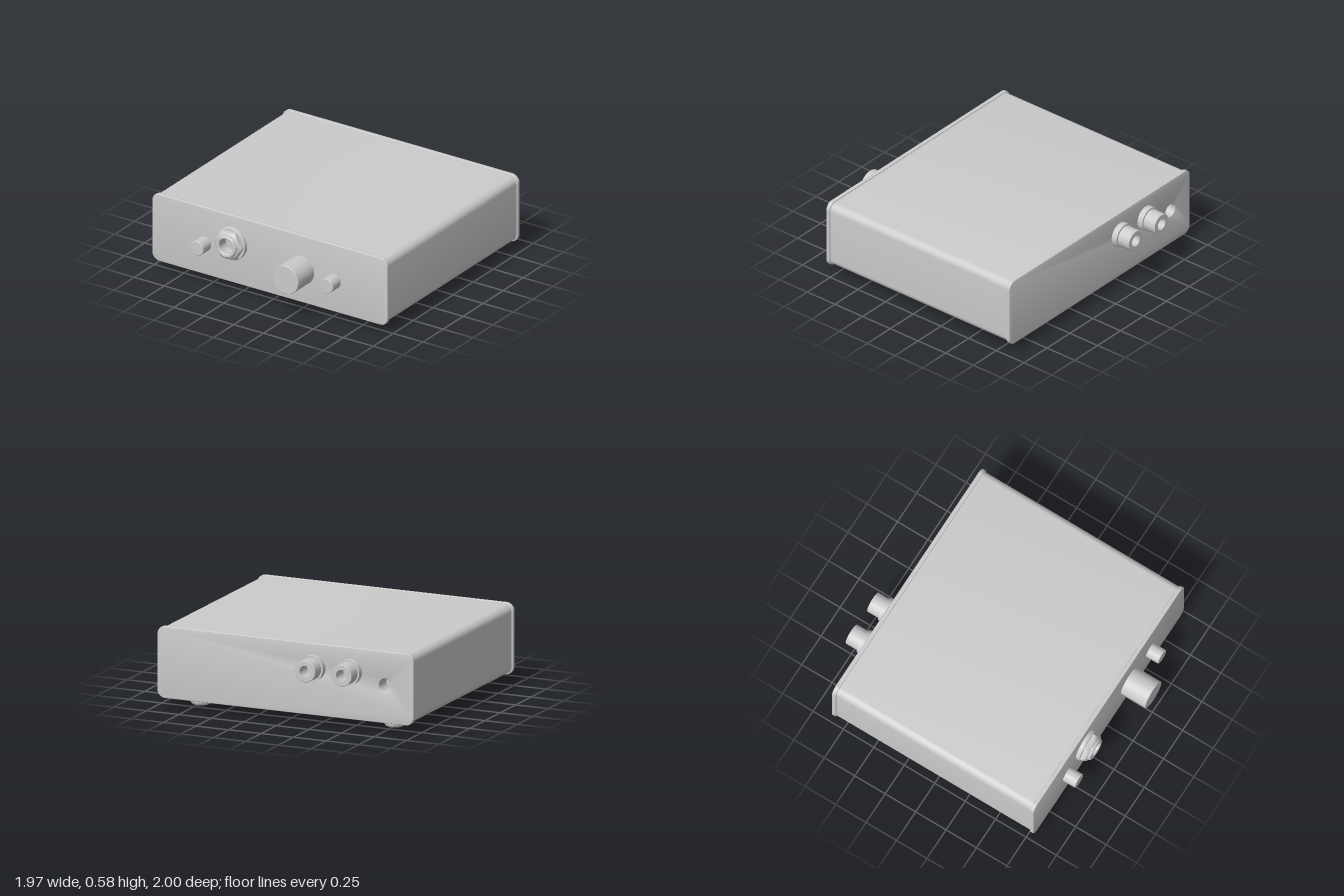
import * as THREE from 'three';
import { toCreasedNormals } from 'three/addons/utils/BufferGeometryUtils.js';

const material = new THREE.MeshStandardMaterial({ color: 0xcccccc });
const CENTER_Y = 0.323;

function roundedRect(target, halfW, halfH, r) {
  target.moveTo(-halfW + r, -halfH);
  target.lineTo(halfW - r, -halfH);
  target.absarc(halfW - r, -halfH + r, r, -Math.PI / 2, 0);
  target.lineTo(halfW, halfH - r);
  target.absarc(halfW - r, halfH - r, r, 0, Math.PI / 2);
  target.lineTo(-halfW + r, halfH);
  target.absarc(-halfW + r, halfH - r, r, Math.PI / 2, Math.PI);
  target.lineTo(-halfW, -halfH + r);
  target.absarc(-halfW + r, -halfH + r, r, Math.PI, Math.PI * 1.5);
  return target;
}

function addMesh(group, name, geometry, x, y, z) {
  const mesh = new THREE.Mesh(toCreasedNormals(geometry, 0.5), material);
  mesh.name = name;
  mesh.position.set(x, y, z);
  group.add(mesh);
  return mesh;
}

// Turned part: profile of [radius, height], with height tipped by tilt about x
function turned(profile, tilt, segments = 48) {
  const points = profile.map(([r, h]) => new THREE.Vector2(r, h));
  return new THREE.LatheGeometry(points, segments).rotateX(tilt);
}

// Hex nut: a chamfered disc whose radius is cut back to six flats
function hexNut(radius, apothem, height, hole) {
  const profile = [[radius, 0], [radius, height * 0.5]];
  for (let i = 1; i <= 5; i++) {
    profile.push([radius - 0.028 * i / 5, height * (0.5 + 0.1 * i)]);
  }
  profile.push([hole, height]);
  const geometry = turned(profile, Math.PI / 2, 72);
  const p = geometry.attributes.position;
  for (let i = 0; i < p.count; i++) {
    const x = p.getX(i), y = p.getY(i), r = Math.hypot(x, y);
    const sector = Math.PI / 3;
    const a = Math.atan2(y, x) - sector / 2;
    const limit = apothem / Math.cos(a - Math.round(a / sector) * sector);
    const k = Math.min(1, limit / r);
    p.setXY(i, x * k, y * k);
  }
  return geometry;
}

export function createModel() {
  const model = new THREE.Group();
  model.name = 'amplifierBox';
  const FRONT = Math.PI / 2, REAR = -Math.PI / 2, DOWN = Math.PI;

  // Sleeve-shaped case
  const sleeve = roundedRect(new THREE.Shape(), 0.975, 0.249, 0.055);
  sleeve.holes.push(roundedRect(new THREE.Path(), 0.955, 0.229, 0.035));
  addMesh(model, 'caseSleeve', new THREE.ExtrudeGeometry(sleeve, {
    depth: 1.605, bevelEnabled: false, curveSegments: 12,
  }), 0, CENTER_Y, -0.83);

  // End panels with softened edges; the rear one has a power socket hole
  const socket = { x: -0.77, y: 0.335, r: 0.05 };
  const bevel = 0.007;
  for (const [name, z, hasHole] of [['frontPanel', 0.769, false], ['rearPanel', -0.856, true]]) {
    const shape = roundedRect(new THREE.Shape(), 0.985 - bevel, 0.258 - bevel, 0.06 - bevel);
    if (hasHole) {
      const hole = new THREE.Path();
      hole.absarc(socket.x, socket.y - CENTER_Y, socket.r + bevel, 0, Math.PI * 2, true);
      shape.holes.push(hole);
    }
    addMesh(model, name, new THREE.ExtrudeGeometry(shape, {
      depth: 0.032 - 2 * bevel, bevelThickness: bevel, bevelSize: bevel,
      bevelSegments: 3, curveSegments: 12,
    }), 0, CENTER_Y, z + bevel);
  }

  // Recess behind the power socket hole
  addMesh(model, 'powerSocket', turned([[socket.r, -0.002], [socket.r, -0.12], [0, -0.12]], REAR),
    socket.x, socket.y, -0.855);

  // Volume knob and two small buttons
  const cap = (r, h) => [[r, 0], [r, h - 0.003], [r - 0.003, h], [0, h]];
  addMesh(model, 'volumeKnob', turned(cap(0.107, 0.2), FRONT), 0.265, 0.315, 0.8);
  for (const x of [-0.545, 0.54]) {
    addMesh(model, 'button', turned(cap(0.055, 0.1), FRONT), x, 0.302, 0.8);
  }

  // Headphone jack: washer, hex nut and hollow threaded collar
  const jack = new THREE.Group();
  jack.name = 'headphoneJack';
  jack.position.set(-0.31, 0.372, 0.8);
  addMesh(jack, 'jackWasher', turned([[0.122, 0], [0.122, 0.027], [0.118, 0.031], [0.06, 0.031]], FRONT), 0, 0, 0);
  addMesh(jack, 'jackNut', hexNut(0.118, 0.101, 0.045, 0.06), 0, 0, 0.03);
  addMesh(jack, 'jackCollar', turned([
    [0.085, 0.07], [0.085, 0.082], [0.077, 0.092], [0.062, 0.092], [0.055, 0.085], [0.055, -0.1], [0, -0.1],
  ], FRONT), 0, 0, 0);
  model.add(jack);

  // Pair of hollow audio sockets on the rear
  for (const x of [-0.5, -0.22]) {
    addMesh(model, 'audioSocket', turned([
      [0.09, 0], [0.09, 0.045], [0.077, 0.045], [0.077, 0.142], [0.074, 0.145],
      [0.042, 0.145], [0.042, 0.02], [0, 0.02],
    ], REAR), x, 0.41, -0.855);
  }

  // Four stepped rubber feet
  const footProfile = [
    [0.105, 0], [0.105, 0.016], [0.101, 0.028], [0.092, 0.038], [0.078, 0.043],
    [0.072, 0.044], [0.072, 0.056], [0.066, 0.068], [0.056, 0.075], [0, 0.075],
  ];
  for (const x of [-0.745, 0.745]) {
    for (const z of [0.61, -0.65]) {
      addMesh(model, 'foot', turned(footProfile, DOWN), x, 0.075, z);
    }
  }
  return model;
}
